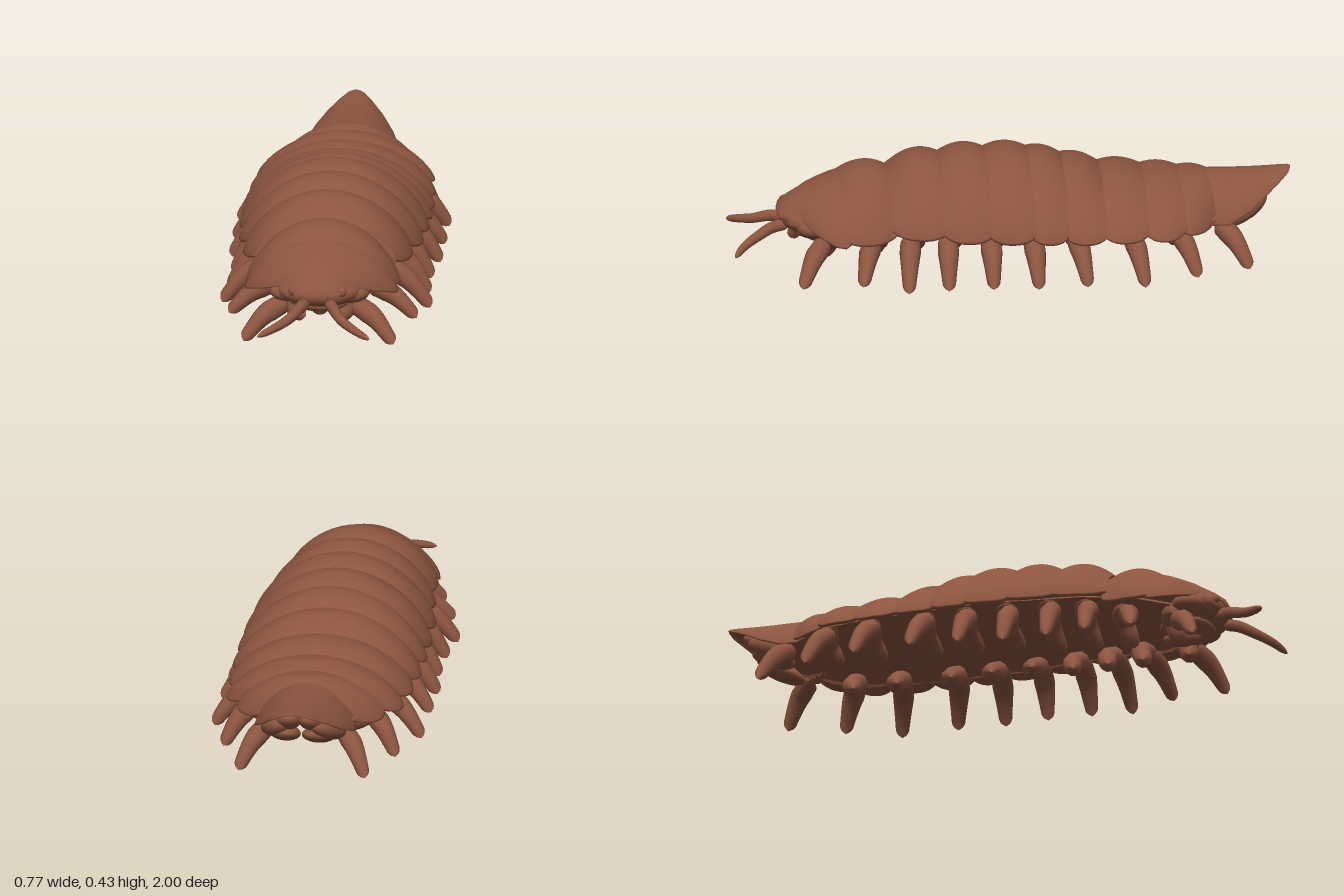
import * as THREE from 'three';

const shellBrown = new THREE.MeshStandardMaterial({ color: 0x8c5540, side: THREE.DoubleSide });

function addMesh(parent, name, geometry) {
  const mesh = new THREE.Mesh(geometry, shellBrown);
  mesh.name = name;
  parent.add(mesh);
  return mesh;
}

// Arched skin through rings of [z, half width, top y, bottom y], with a small lip turned inwards
function archGeometry(rings, powerX = 2.0, powerY = 1.4, lip = true) {
  const steps = 32, pos = [], idx = [];
  const section = [];
  if (lip) section.push([0.87, 0.08], [0.95, 0.0]);
  for (let j = 0; j <= steps; j++) {
    const a = Math.PI * j / steps, c = Math.cos(a), s = Math.max(0, Math.sin(a));
    section.push([Math.sign(c) * Math.abs(c) ** (2 / powerX), s ** (2 / powerY)]);
  }
  if (lip) section.push([-0.95, 0.0], [-0.87, 0.08]);
  const n = section.length;
  rings.forEach(([z, w, top, bottom], i) => {
    for (const [x, y] of section) pos.push(x * w, bottom + y * (top - bottom), z);
    if (i === 0) return;
    for (let j = 0; j < n - 1; j++) {
      const a = (i - 1) * n + j, c = i * n + j;
      idx.push(a, c, a + 1, a + 1, c, c + 1);
    }
  });
  const g = new THREE.BufferGeometry();
  g.setAttribute('position', new THREE.Float32BufferAttribute(pos, 3));
  g.setIndex(idx);
  g.computeVertexNormals();
  return g;
}

// Tapered limb along a smooth curve, rounded at both ends
function limbGeometry(points, radii, side = 1) {
  const curve = new THREE.CatmullRomCurve3(points.map(([x, y, z]) => new THREE.Vector3(x * side, y, z)));
  const n = 24, m = 10;
  const g = new THREE.TubeGeometry(curve, n, 1, m);
  const p = g.attributes.position, v = new THREE.Vector3();
  for (let i = 0; i <= n; i++) {
    const t = i / n, f = t * (radii.length - 1), k = Math.min(Math.floor(f), radii.length - 2);
    const end = Math.min(1, Math.sqrt(Math.min(t, 1 - t) / 0.1));
    const r = THREE.MathUtils.lerp(radii[k], radii[k + 1], f - k) * end;
    const c = curve.getPointAt(t);
    for (let j = 0; j <= m; j++) {
      const q = i * (m + 1) + j;
      v.fromBufferAttribute(p, q).sub(c).multiplyScalar(r).add(c);
      p.setXYZ(q, v.x, v.y, v.z);
    }
  }
  return g;
}

function addBlob(parent, name, position, scale, rotation = [0, 0, 0]) {
  const mesh = addMesh(parent, name, new THREE.SphereGeometry(1, 18, 12));
  mesh.position.set(...position);
  mesh.scale.set(...scale);
  mesh.rotation.set(...rotation);
}

// Each plate: front z, back z, half widths (front, middle, back), tops (front, middle, back), bottom
const PLATES = [
  [0.62, 0.42, 0.255, 0.275, 0.235, 0.334, 0.377, 0.345, 0.16],
  [0.44, 0.24, 0.255, 0.3, 0.288, 0.352, 0.412, 0.39, 0.183],
  [0.26, 0.08, 0.292, 0.328, 0.308, 0.39, 0.427, 0.402, 0.176],
  [0.10, -0.07, 0.308, 0.338, 0.318, 0.402, 0.427, 0.4, 0.172],
  [-0.05, -0.19, 0.315, 0.34, 0.315, 0.4, 0.405, 0.37, 0.168],
  [-0.17, -0.33, 0.312, 0.339, 0.308, 0.37, 0.372, 0.326, 0.163],
  [-0.31, -0.48, 0.308, 0.331, 0.292, 0.329, 0.344, 0.315, 0.162],
  [-0.46, -0.61, 0.292, 0.317, 0.268, 0.314, 0.328, 0.308, 0.16],
  [-0.59, -0.72, 0.262, 0.25, 0.175, 0.309, 0.321, 0.302, 0.16],
];

function plateRings([z0, z1, w0, w1, w2, t0, t1, t2, bottom]) {
  const fit = (a, b, c, t) => a * (1 - t) * (1 - 2 * t) + b * 4 * t * (1 - t) + c * t * (2 * t - 1);
  const rings = [];
  for (let i = 0; i <= 10; i++) {
    const t = i / 10, scallop = 0.022 * Math.abs(2 * t - 1) ** 3;
    rings.push([z0 + (z1 - z0) * t, fit(w0, w1, w2, t), fit(t0, t1, t2, t), bottom + scallop]);
  }
  return rings;
}

// Legs: root x, y, z, then foot x, y, z
const LEGS = [
  [0.12, 0.125, 0.67, 0.268, 0.003, 0.76], [0.16, 0.14, 0.5, 0.335, 0.03, 0.55],
  [0.2, 0.165, 0.37, 0.372, 0.012, 0.39], [0.22, 0.17, 0.24, 0.355, 0.012, 0.245],
  [0.23, 0.17, 0.09, 0.352, 0.012, 0.085], [0.23, 0.17, -0.06, 0.372, 0.015, -0.075],
  [0.23, 0.17, -0.21, 0.374, 0.02, -0.25], [0.22, 0.17, -0.41, 0.374, 0.012, -0.455],
  [0.2, 0.17, -0.57, 0.31, 0.02, -0.648], [0.13, 0.16, -0.73, 0.228, 0.015, -0.838],
];

export function createModel() {
  const model = new THREE.Group();
  model.name = 'isopod';

  // Back plates
  const shell = new THREE.Group();
  shell.name = 'shell';
  model.add(shell);
  PLATES.forEach((p, i) => addMesh(shell, `backPlate${i + 1}`, archGeometry(plateRings(p))));

  // Front shield and pointed tail shield
  addMesh(shell, 'frontShield', archGeometry([
    [0.835, 0.03, 0.215, 0.2], [0.825, 0.08, 0.235, 0.205], [0.79, 0.105, 0.262, 0.212], [0.755, 0.13, 0.282, 0.21],
    [0.72, 0.19, 0.3, 0.19], [0.68, 0.235, 0.316, 0.172], [0.64, 0.268, 0.331, 0.157], [0.605, 0.275, 0.342, 0.153],
    [0.575, 0.258, 0.338, 0.17],
  ]));
  addMesh(shell, 'tailShield', archGeometry([
    [-0.685, 0.165, 0.306, 0.185], [-0.71, 0.178, 0.312, 0.165], [-0.77, 0.18, 0.311, 0.165],
    [-0.85, 0.148, 0.311, 0.205], [-0.91, 0.108, 0.314, 0.248], [-0.96, 0.066, 0.319, 0.283],
    [-0.99, 0.035, 0.322, 0.304], [-1, 0.008, 0.32, 0.316],
  ]));

  // Hollow underside
  addMesh(model, 'belly', archGeometry([
    [0.72, 0.12, 0.19, 0.17], [0.55, 0.23, 0.205, 0.175], [0.35, 0.26, 0.215, 0.19], [0, 0.3, 0.215, 0.185],
    [-0.4, 0.29, 0.205, 0.175], [-0.6, 0.25, 0.205, 0.175], [-0.8, 0.14, 0.21, 0.2],
  ], 2.4, 2.4, false));

  // Head and mouth
  const head = new THREE.Group();
  head.name = 'head';
  model.add(head);
  addBlob(head, 'face', [0, 0.195, 0.735], [0.15, 0.055, 0.093]);
  addBlob(head, 'jaw', [0, 0.142, 0.68], [0.11, 0.034, 0.1]);
  addBlob(head, 'mouth', [0, 0.112, 0.66], [0.035, 0.03, 0.07]);

  for (const s of [1, -1]) {
    addBlob(head, 'eye', [0.088 * s, 0.212, 0.8], [0.015, 0.018, 0.018]);
    addBlob(head, 'cheek', [0.11 * s, 0.182, 0.71], [0.07, 0.036, 0.065]);
    addMesh(head, 'antenna', limbGeometry(
      [[0.04, 0.168, 0.79], [0.06, 0.165, 0.85], [0.095, 0.143, 0.91], [0.145, 0.125, 0.96], [0.202, 0.105, 0.997]],
      [0.022, 0.021, 0.018, 0.015, 0.01], s));

    // Walking legs with shorter inner limbs
    LEGS.forEach(([rx, ry, rz, fx, fy, fz], i) => {
      const mix = (a, b, t) => a + (b - a) * t;
      addMesh(model, `leg${i + 1}`, limbGeometry([
        [rx, ry, rz],
        [mix(rx, fx, 0.5), mix(ry, fy, 0.4) + 0.012, mix(rz, fz, 0.5)],
        [mix(rx, fx, 0.85), mix(ry, fy, 0.75), mix(rz, fz, 0.85)],
        [fx, fy, fz],
      ], [0.035, 0.038, 0.029, 0.021], s));
      if (i < 9) {
        const tipX = 0.05 + 0.006 * i, tipY = i < 4 ? 0.072 : 0.095;
        addMesh(model, `innerLimb${i + 1}`, limbGeometry(
          [[rx + 0.04, ry + 0.015, rz - 0.01], [(rx + tipX) / 2 + 0.02, 0.135, rz - 0.02], [tipX + 0.035, tipY + 0.015, rz - 0.005], [tipX, tipY, rz]],
          [0.04, 0.039, 0.034, 0.022], s));
      }
    });

    // Tail flaps below the shield
    addBlob(model, 'outerTailFlap', [0.098 * s, 0.195, -0.835], [0.04, 0.035, 0.095], [0.5, 0.45 * s, 0]);
    addBlob(model, 'innerTailFlap', [0.045 * s, 0.23, -0.86], [0.045, 0.03, 0.09], [0.5, 0.2 * s, 0]);
    addBlob(model, 'lowerTailFlap', [0.06 * s, 0.165, -0.82], [0.055, 0.028, 0.09], [0.4, 0.25 * s, 0]);
  }

  return model;
}
